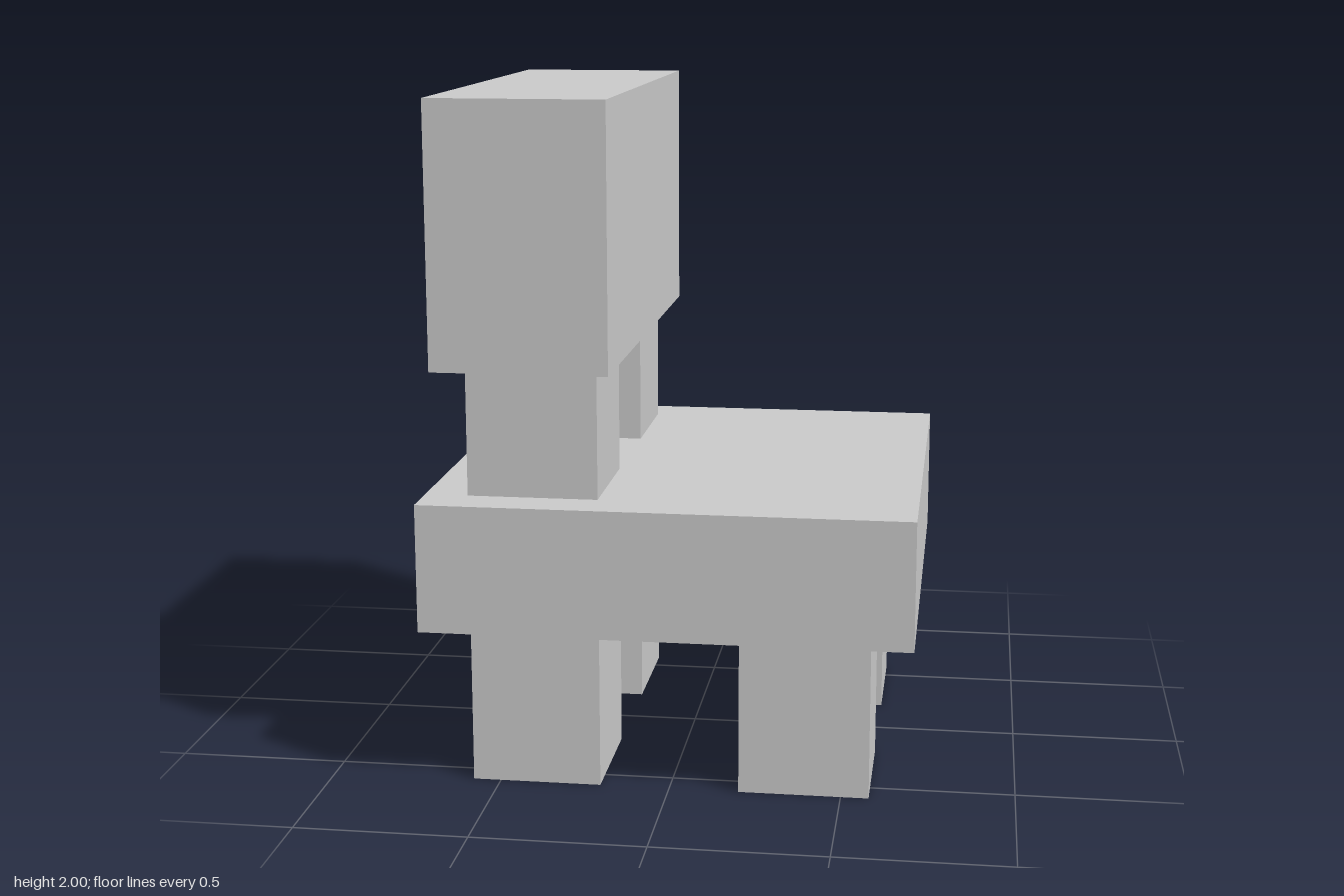
import * as THREE from 'three';

const material = new THREE.MeshStandardMaterial({ color: 0xcccccc, flatShading: true });

// Box named for its part, placed by its centre in x and z and its bottom and top in y
function block(name, width, depth, bottom, top, x = 0, z = 0) {
  const mesh = new THREE.Mesh(new THREE.BoxGeometry(width, top - bottom, depth), material);
  mesh.name = name;
  mesh.position.set(x, (bottom + top) / 2, z);
  return mesh;
}

export function createModel() {
  const group = new THREE.Group();
  group.name = 'chair';

  const width = 1.412;
  const legSize = 0.378;
  const legOffset = 0.392;
  const seatBottom = 0.487;
  const seatTop = 0.862;
  const backBottom = 1.244;

  // Seat slab
  group.add(block('seat', width, width, seatBottom, seatTop));

  for (const z of [legOffset, -legOffset]) {
    const end = z > 0 ? 'front' : 'back';
    // Four square legs
    group.add(block(end + 'LeftLeg', legSize, legSize, 0, seatBottom, legOffset, z));
    group.add(block(end + 'RightLeg', legSize, legSize, 0, seatBottom, -legOffset, z));
    // Two posts holding the backrest, in line with the right legs
    group.add(block(end + 'BackrestPost', legSize, legSize, seatTop, backBottom, -legOffset, z));
  }

  // Backrest block
  group.add(block('backrest', 0.506, width, backBottom, 2, -0.401));

  return group;
}
